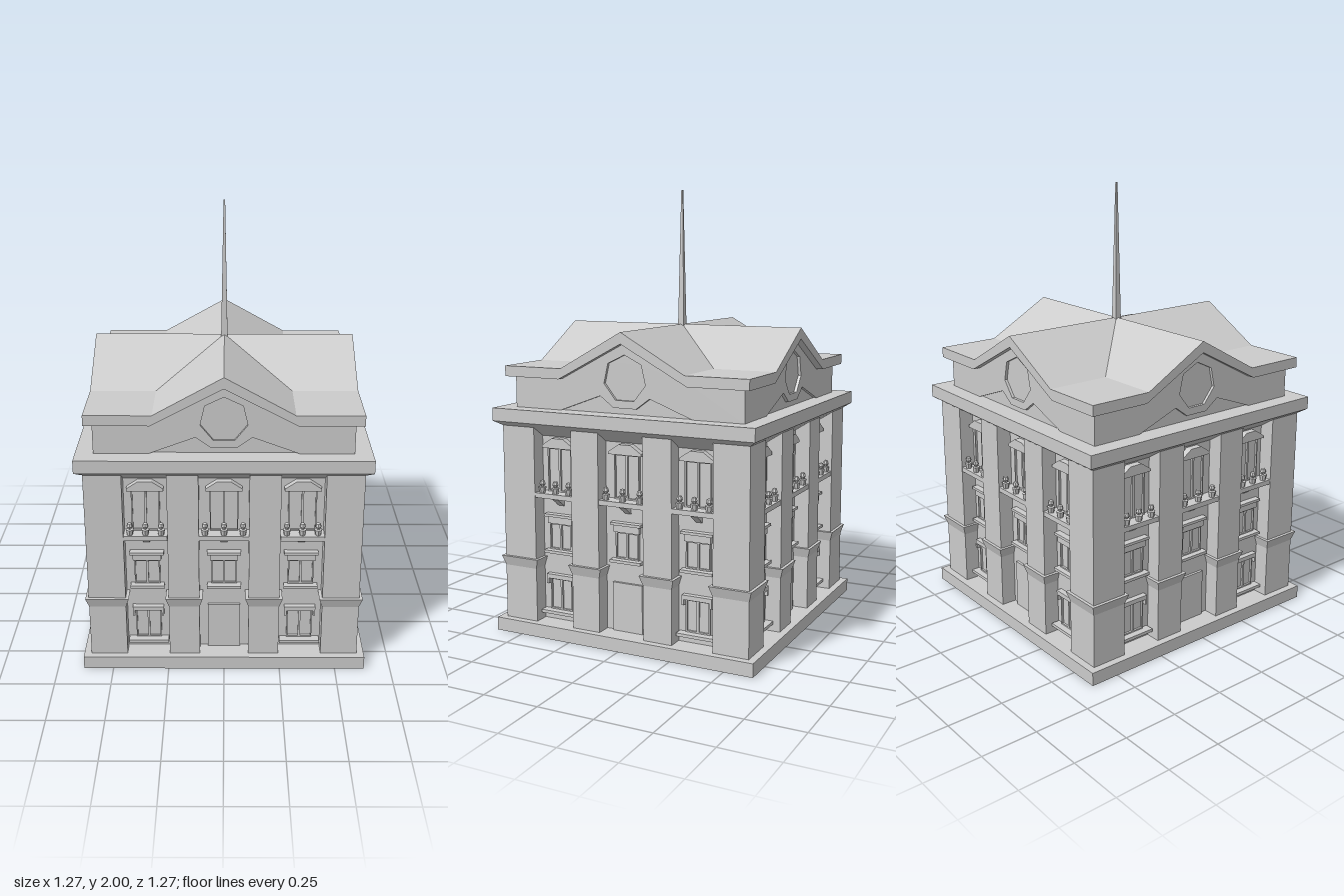
import * as THREE from 'three';

const mat = new THREE.MeshStandardMaterial({ color: 0xcccccc, flatShading: true, side: THREE.DoubleSide });
const WALL = 0.53, FACE = 0.6; // recessed wall plane and pilaster plane

function add(parent, name, geo, x = 0, y = 0, z = 0) {
  const m = new THREE.Mesh(geo, mat);
  m.name = name;
  m.position.set(x, y, z);
  parent.add(m);
  return m;
}

// Box from its x centre, width, y range and z range
function box(parent, name, x, w, y0, y1, z0, z1) {
  return add(parent, name, new THREE.BoxGeometry(w, y1 - y0, z1 - z0), x, (y0 + y1) / 2, (z0 + z1) / 2);
}

// Rectangular block whose top half-sizes differ from the bottom ones by "grow"
function flare(parent, name, x, z, hx, hz, y0, y1, grow) {
  const g = new THREE.BoxGeometry(2 * hx, y1 - y0, 2 * hz);
  const p = g.attributes.position;
  for (let i = 0; i < p.count; i++) {
    if (p.getY(i) > 0) {
      p.setX(i, p.getX(i) + Math.sign(p.getX(i)) * grow);
      p.setZ(i, p.getZ(i) + Math.sign(p.getZ(i)) * grow);
    }
  }
  g.computeVertexNormals();
  return add(parent, name, g, x, (y0 + y1) / 2, z);
}

const shapeOf = (pts) => new THREE.Shape(pts.map(([x, y]) => new THREE.Vector2(x, y)));

function extrude(parent, name, shape, z0, z1) {
  const g = new THREE.ExtrudeGeometry(shape, { depth: z1 - z0, bevelEnabled: false });
  g.translate(0, 0, z0);
  return add(parent, name, g);
}

// Prism with a y-z profile, spanning a width in x
function sideProfile(parent, name, pts, x, w) {
  const g = new THREE.ExtrudeGeometry(shapeOf(pts.map(([z, y]) => [-z, y])), { depth: w, bevelEnabled: false });
  g.rotateY(Math.PI / 2);
  g.translate(-w / 2, 0, 0);
  return add(parent, name, g, x, 0, 0);
}

// Window: thin frame with two openings and a pane set behind it
function makeWindow(parent, x, hw, y0, y1) {
  const s = shapeOf([[-hw, y0], [hw, y0], [hw, y1], [-hw, y1]]);
  const t = 0.006;
  for (const k of [-1, 1]) {
    const a = k * 0.005, b = k * (hw - t);
    s.holes.push(new THREE.Path([[a, y0 + t], [b, y0 + t], [b, y1 - t], [a, y1 - t]].map(([u, v]) => new THREE.Vector2(u, v))));
  }
  extrude(parent, 'windowFrame', s, WALL, WALL + 0.012).position.x = x;
  box(parent, 'windowPane', x, 2 * hw - 0.005, y0, y1, WALL, WALL + 0.003);
}

const potGeo = new THREE.LatheGeometry([[0, 0], [0.013, 0], [0.018, 0.026], [0.007, 0.028], [0.014, 0.04], [0.01, 0.054], [0, 0.058]]
  .map(([r, y]) => new THREE.Vector2(r, y)), 7);

function makeBay(side, x, w, hasDoor) {
  const bay = new THREE.Group();
  bay.name = 'windowBay';
  side.add(bay);

  // Ground floor
  if (hasDoor) {
    box(bay, 'doorPanel', x, 0.146, 0.06, 0.28, WALL, WALL + 0.012);
  } else {
    makeWindow(bay, x, 0.057, 0.11, 0.255);
    box(bay, 'groundSill', x, 0.18, 0.094, 0.108, WALL, WALL + 0.04);
    box(bay, 'groundLintel', x, 0.14, 0.255, 0.275, WALL, WALL + 0.025);
    for (const k of [-1, 1]) box(bay, 'lintelEnd', x + k * 0.065, 0.01, 0.23, 0.255, WALL, WALL + 0.025);
  }

  // Middle floor
  makeWindow(bay, x, 0.057, 0.39, 0.51);
  box(bay, 'middleSill', x, 0.15, 0.375, 0.388, WALL, WALL + 0.035);
  box(bay, 'middleLintel', x, 0.125, 0.51, 0.542, WALL, WALL + 0.02);
  box(bay, 'lintelCap', x, 0.15, 0.542, 0.554, WALL, WALL + 0.03);

  // Balcony with bracket and pots
  box(bay, 'balconySlab', x, w, 0.634, 0.656, WALL - 0.01, FACE - 0.002);
  sideProfile(bay, 'balconyBracket', [[WALL, 0.592], [FACE - 0.01, 0.634], [WALL, 0.634]], x, 0.03);
  for (const k of [-1, 0, 1]) add(bay, 'pot', potGeo, x + k * (w / 2 - 0.027), 0.656, FACE - 0.022);

  // Upper window with pediment
  makeWindow(bay, x, 0.062, 0.656, 0.855);
  const ped = shapeOf([[-0.08, 0.855], [0.08, 0.855], [0.08, 0.866], [0.03, 0.9], [-0.03, 0.9], [-0.08, 0.866]]);
  extrude(bay, 'windowPediment', ped, WALL, WALL + 0.03).position.x = x;

  // Sloped soffit at the top of the recess
  sideProfile(bay, 'soffit', [[WALL, 0.905], [FACE, 0.95], [FACE, 0.97], [WALL, 0.97]], x, w);
}

function makeSide() {
  const side = new THREE.Group();
  side.name = 'facade';

  // Intermediate pilasters with flared bands
  for (const k of [-1, 1]) {
    box(side, 'pilaster', k * 0.177, 0.136, 0.06, 0.97, WALL - 0.01, FACE);
    flare(side, 'pilasterBand', k * 0.177, FACE - 0.04, 0.068, 0.04, 0.305, 0.35, 0.014);
  }
  makeBay(side, 0, 0.22, true);
  makeBay(side, -0.341, 0.19, false);
  makeBay(side, 0.341, 0.19, false);

  // Raised gable facing with a heptagonal opening
  const half = [[0.12, 1.105], [0.32, 1.03], [0.555, 1.03], [0.555, 1.18], [0.305, 1.18]];
  const facing = shapeOf([[0.055, 1.057], ...half, [0, 1.345], ...half.map(([x, y]) => [-x, y]).reverse(), [-0.055, 1.057]]);
  const ring = (r) => Array.from({ length: 7 }, (_, i) => {
    const a = (i / 7) * Math.PI * 2;
    return new THREE.Vector2(Math.sin(a) * r, 1.183 + Math.cos(a) * r);
  });
  facing.holes.push(new THREE.Path(ring(0.103)));
  extrude(side, 'gableFacing', facing, 0.535, 0.555);
  extrude(side, 'gableWindow', new THREE.Shape(ring(0.104)), 0.53, 0.542);
  return side;
}

export function createModel() {
  const model = new THREE.Group();
  model.name = 'building';

  // Hollow plinth: a box without its bottom face
  const plinth = box(model, 'plinth', 0, 1.265, 0, 0.06, -0.6325, 0.6325).geometry;
  plinth.setIndex([...plinth.index.array].filter((_, i) => i < 18 || i >= 24));

  // Core and corner piers
  box(model, 'core', 0, 2 * WALL, 0.06, 0.97, -WALL, WALL);
  for (const sx of [-1, 1]) for (const sz of [-1, 1]) {
    add(model, 'cornerPier', new THREE.BoxGeometry(0.164, 0.91, 0.164), sx * 0.518, 0.515, sz * 0.518);
    flare(model, 'cornerBand', sx * 0.518, sz * 0.518, 0.082, 0.082, 0.305, 0.35, 0.014);
    // Flat roof corner between two gables
    add(model, 'roofCorner', new THREE.BoxGeometry(0.279, 0.047, 0.279), sx * 0.4495, 1.1935, sz * 0.4495);
  }

  // Main cornice
  flare(model, 'corniceSlope', 0, 0, FACE, FACE, 0.95, 0.972, 0.0325);
  box(model, 'cornice', 0, 1.265, 0.972, 1.03, -0.6325, 0.6325);

  // Four identical facades
  for (let i = 0; i < 4; i++) {
    const side = makeSide();
    side.rotation.y = (i * Math.PI) / 2;
    model.add(side);
  }

  // Attic and roof: two crossing gables
  const attic = shapeOf([[-0.54, 1.02], [0.54, 1.02], [0.54, 1.18], [0.305, 1.18], [0, 1.345], [-0.305, 1.18], [-0.54, 1.18]]);
  const roof = shapeOf([[-0.31, 1.17], [0, 1.335], [0.31, 1.17], [0.31, 1.217], [0.3, 1.217],
    [0, 1.385], [-0.3, 1.217], [-0.31, 1.217]]);
  for (const turn of [0, Math.PI / 2]) {
    extrude(model, 'attic', attic, -0.54, 0.54).rotation.y = turn;
    extrude(model, 'gableRoof', roof, -0.589, 0.589).rotation.y = turn;
  }

  // Spire
  flare(model, 'spire', 0, 0, 0.015, 0.015, 1.36, 2, -0.0115);
  return model;
}
